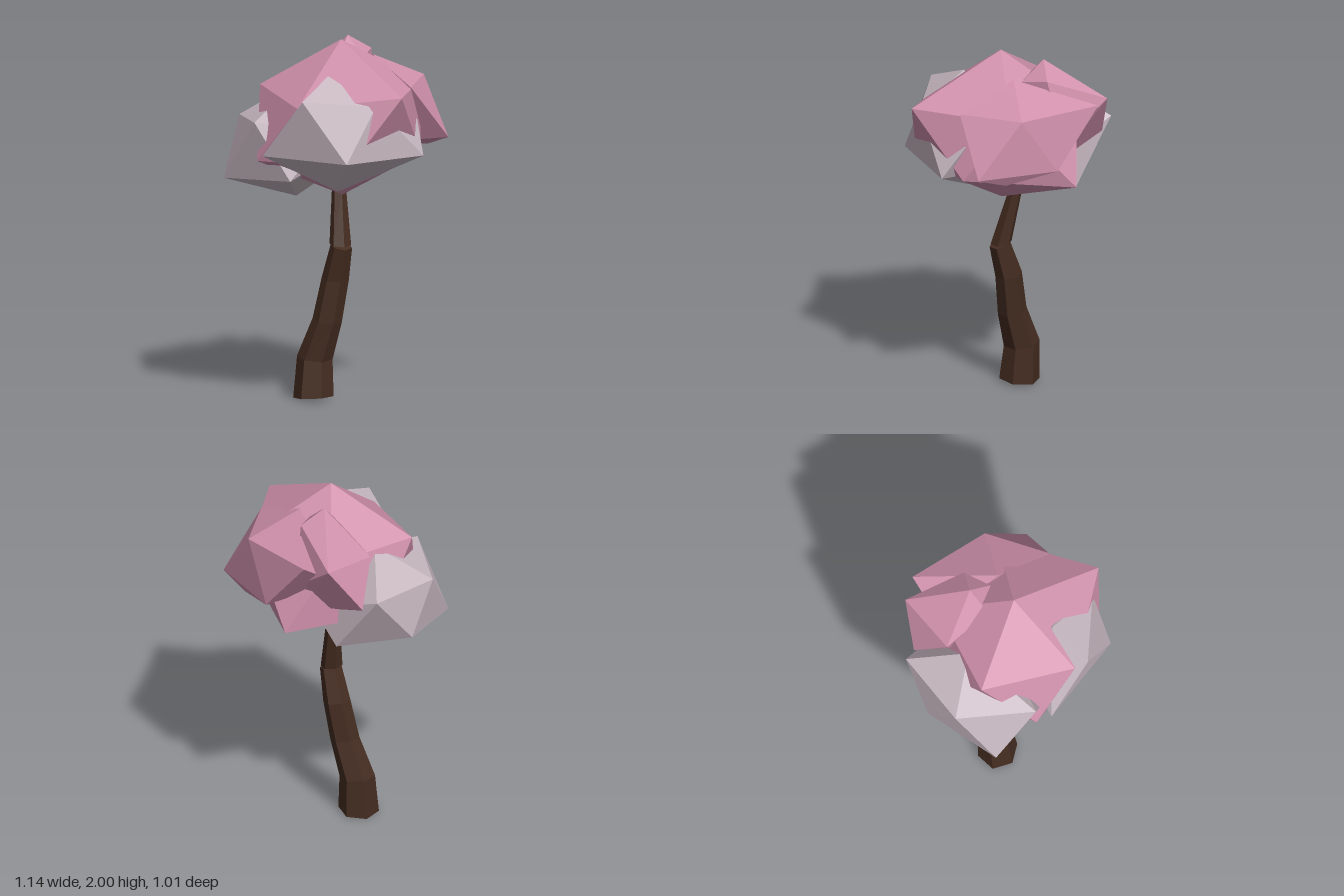
import * as THREE from 'three';
import { ConvexGeometry } from 'three/addons/geometries/ConvexGeometry.js';

const material = (name, color) => {
  const m = new THREE.MeshStandardMaterial({ color });
  m.name = name;
  return m;
};

// Six-sided limb through rings [x, y, z, radiusX, radiusZ, tilt], listed top to bottom
function limb(name, mat, rings) {
  const n = rings.length - 1;
  let geo = new THREE.CylinderGeometry(1, 1, 1, 6, n, false, Math.PI / 12);
  const p = geo.attributes.position;
  for (let i = 0; i < p.count; i++) {
    const [x, y, z, rx, rz, tilt] = rings[Math.round((0.5 - p.getY(i)) * n)];
    const dx = p.getX(i) * rx;
    p.setXYZ(i, x + dx, y + dx * tilt, z + p.getZ(i) * rz);
  }
  geo = geo.toNonIndexed();
  geo.computeVertexNormals();
  const mesh = new THREE.Mesh(geo, mat);
  mesh.name = name;
  return mesh;
}

// Faceted leaf clump stretched around a few corner points
function clump(name, mat, corners) {
  const geo = new ConvexGeometry(corners.map((c) => new THREE.Vector3(...c)));
  const mesh = new THREE.Mesh(geo, mat);
  mesh.name = name;
  return mesh;
}

export function createModel() {
  const bark = material('dark bark', 0x452d21);
  const pink = material('pink blossom', 0xcf90ab);
  const grey = material('pale grey blossom', 0xc6b7bf);
  const tree = new THREE.Group();
  tree.name = 'tree';

  // Trunk in two leaning pieces with a visible joint
  tree.add(
    limb('lowerTrunk', bark, [
      [0.037, 0.86, 0.012, 0.054, 0.061, -0.35],
      [-0.018, 0.67, 0.012, 0.073, 0.075, -0.15],
      [-0.053, 0.44, 0.04, 0.079, 0.08, -0.2],
      [-0.125, 0.225, 0.07, 0.099, 0.096, -0.12],
      [-0.118, 0.01, 0.085, 0.111, 0.111, 0.08],
    ]),
    limb('upperTrunk', bark, [
      [-0.06, 1.32, -0.04, 0.031, 0.033, 0],
      [-0.035, 1.16, -0.027, 0.039, 0.039, 0],
      [0.027, 0.865, 0.012, 0.058, 0.061, -0.12],
    ]),
  );

  // Pink clumps: crown, back and back left
  tree.add(
    clump('crownClump', pink, [
      [0.03, 2.0, 0.01],
      [0.57, 1.75, 0.01], [0.17, 1.68, 0.42], [-0.34, 1.73, 0.28], [-0.3, 1.73, -0.25], [0.18, 1.75, -0.42],
      [0.42, 1.37, 0.26], [-0.11, 1.36, 0.48], [-0.42, 1.38, 0.0], [-0.19, 1.33, -0.48], [0.39, 1.39, -0.26],
      [0.03, 1.14, 0.0],
    ]),
    clump('backClump', pink, [
      [0.05, 1.9, -0.19], [0.14, 1.77, -0.475], [-0.33, 1.78, -0.46], [0.38, 1.76, -0.2],
      [0.39, 1.46, -0.45], [-0.06, 1.46, -0.51], [0.22, 1.4, -0.44], [-0.3, 1.6, -0.2],
      [0.1, 1.42, -0.15],
    ]),
    clump('backLeftClump', pink, [
      [-0.14, 1.98, -0.17], [-0.1, 1.9, -0.3], [-0.01, 1.87, -0.17], [-0.1, 1.85, -0.05],
      [-0.43, 1.77, -0.37], [-0.37, 1.73, -0.03], [-0.49, 1.5, -0.18], [-0.15, 1.57, -0.38],
      [-0.15, 1.42, -0.31], [-0.25, 1.36, -0.1],
    ]),
  );

  // Grey clumps on both sides of the front
  tree.add(
    clump('frontLeftClump', grey, [
      [-0.29, 1.73, 0.06], [-0.12, 1.57, 0.49], [-0.51, 1.54, 0.29], [-0.565, 1.56, -0.14],
      [-0.38, 1.23, 0.5], [-0.57, 1.27, 0.1], [0.03, 1.25, 0.36], [-0.08, 1.5, 0.42],
      [-0.25, 1.105, 0.1], [-0.31, 1.21, -0.22], [-0.15, 1.4, -0.26], [-0.05, 1.5, 0.0],
    ]),
    clump('frontRightClump', grey, [
      [0.16, 1.835, 0.2], [0.24, 1.73, 0.44], [0.47, 1.7, 0.11], [-0.03, 1.4, 0.505],
      [0.465, 1.4, 0.31], [0.49, 1.4, -0.2], [0.37, 1.58, -0.25], [0.12, 1.18, 0.1],
      [0.05, 1.35, -0.1], [-0.02, 1.5, 0.15],
    ]),
  );
  return tree;
}
